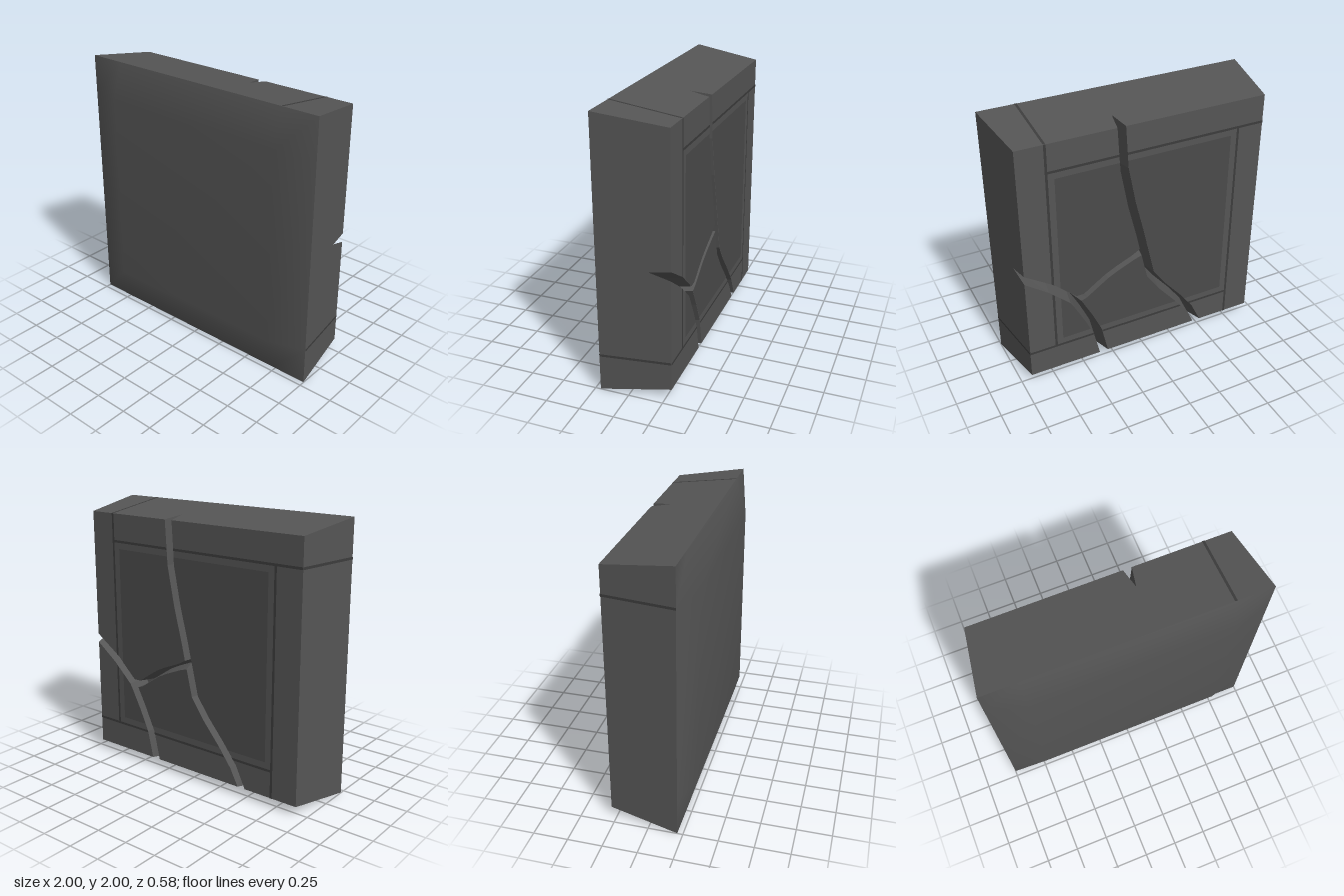
import * as THREE from 'three';

// Slab outline: back rim (z -0.29), wide rim (z 0.21), raised front (z 0.29)
const ZB = -0.29, ZM = 0.21, ZF = 0.29, ZV = -0.14;
const BACK = 0.93, IN = 0.725, WIDE = 1;
const rimAt = z => BACK + (WIDE - BACK) * (z - ZB) / (ZM - ZB);

const mat = color => new THREE.MeshStandardMaterial({ color, side: THREE.DoubleSide });
const stone = mat(0x555555), panelMat = mat(0x4a4a4a), seamMat = mat(0x3c3c3c);

// Triangulate a flat 3D polygon and turn its triangles towards `out`
function addFace(list, poly, out) {
  const drop = [0, 1, 2].sort((a, b) => Math.abs(out[b]) - Math.abs(out[a]))[0];
  const [u, v] = [0, 1, 2].filter(i => i !== drop);
  const flat = poly.map(p => new THREE.Vector2(p[u], p[v]));
  for (const t of THREE.ShapeUtils.triangulateShape(flat, [])) {
    const [a, b, c] = t.map(i => new THREE.Vector3(...poly[i]));
    const n = b.clone().sub(a).cross(c.clone().sub(a));
    const tri = n.dot(new THREE.Vector3(...out)) < 0 ? [a, c, b] : [a, b, c];
    tri.forEach(p => list.push(p.x, p.y, p.z));
  }
}

function addMesh(group, name, list, material) {
  const g = new THREE.BufferGeometry();
  g.setAttribute('position', new THREE.Float32BufferAttribute(list, 3));
  g.computeVertexNormals();
  const m = new THREE.Mesh(g, material);
  m.name = name;
  group.add(m);
}

// Clip a polygon to the rectangle x0..x1, y0..y1
function clip(poly, x0, y0, x1, y1) {
  for (const [k, s, lim] of [[0, 1, x0], [0, -1, x1], [1, 1, y0], [1, -1, y1]]) {
    const res = [];
    poly.forEach((p, i) => {
      const q = poly[(i + 1) % poly.length];
      const dp = s * (p[k] - lim), dq = s * (q[k] - lim);
      if (dp >= 0) res.push(p);
      if (dp * dq < 0) {
        const t = dp / (dp - dq);
        res.push([p[0] + (q[0] - p[0]) * t, p[1] + (q[1] - p[1]) * t]);
      }
    });
    poly = res;
  }
  return poly;
}

// The two lips of a crack; end normals can be fixed to run along the slab edge
function lips(path, w, startN, endN) {
  const plus = [], minus = [];
  path.forEach((p, i) => {
    const a = path[Math.max(i - 1, 0)], b = path[Math.min(i + 1, path.length - 1)];
    const l = Math.hypot(b[0] - a[0], b[1] - a[1]);
    let n = [-(b[1] - a[1]) / l, (b[0] - a[0]) / l];
    if (i === 0 && startN) n = startN;
    if (i === path.length - 1 && endN) n = endN;
    plus.push([p[0] + n[0] * w, p[1] + n[1] * w]);
    minus.push([p[0] - n[0] * w, p[1] - n[1] * w]);
  });
  return { plus, minus };
}

export function createModel() {
  const group = new THREE.Group();
  const top = 1 + BACK, bot = 1 - BACK, vr = rimAt(ZV);

  // Crack centre lines on the back face
  const longPath = [[0.185, top], [0.166, 1.61], [0.109, 1.317], [0.044, 1.06], [0.015, 0.93],
    [0.0, 0.87], [-0.046, 0.67], [-0.143, 0.53], [-0.29, 0.356], [-0.395, 0.215], [-0.468, bot]];
  const sidePath = [[BACK, 0.937], [0.735, 0.80], [0.575, 0.65], [0.545, 0.60], [0.467, 0.45],
    [0.393, 0.285], [0.345, bot]];
  const linkPath = [[0.48, 0.655], [0.40, 0.71], [0.31, 0.77], [0.23, 0.81], [0.10, 0.865]];
  const A = lips(longPath, 0.031, [1, 0], [1, 0]);
  const B = lips(sidePath, 0.034, [0, -1], [1, 0]);
  const C = lips(linkPath, 0.024);
  const linkUpper = [B.minus[2], ...C.minus, A.plus[4]];
  const linkLower = [B.minus[3], ...C.plus, A.plus[5]];

  // Back face pieces left between the cracks
  const pieces = [
    [...A.minus, [-BACK, bot], [-BACK, top]],
    [...A.plus.slice(0, 5).reverse(), [BACK, top], ...B.minus.slice(0, 3), ...linkUpper.slice(1, -1)],
    [...linkLower, ...A.plus.slice(6), ...B.minus.slice(4).reverse()],
    [...B.plus, [BACK, bot]],
  ];
  const onBack = (list, poly, z) => {
    if (poly.length > 2) addFace(list, poly.map(p => [p[0], p[1], z]), [0, 0, -1]);
  };
  const back = [], panel = [], seams = [];
  pieces.forEach(p => {
    onBack(back, p, ZB);
    onBack(panel, clip(p, -0.67, 0.33, 0.67, 1.67), ZB - 0.002);
    // Pinwheel of seams around the panel
    const w = 0.009;
    for (const [x0, y0, x1, y1] of [[-BACK, 1 + IN, IN, 1 + IN], [IN, 1 - IN, IN, top],
      [-IN, 1 - IN, BACK, 1 - IN], [-IN, bot, -IN, 1 + IN]]) {
      const h = x0 === x1 ? [w, 0] : [0, w];
      onBack(seams, clip(p, x0 - h[0], y0 - h[1], x1 + h[0], y1 + h[1]), ZB - 0.003);
    }
  });
  addMesh(group, 'backFace', back, stone);
  addMesh(group, 'backPanel', panel, panelMat);

  // V-shaped crack walls
  const floorA = longPath.map(p => [...p]), floorB = sidePath.map(p => [...p]);
  floorA[0][1] = 1 + vr;
  floorA[10][1] = floorB[6][1] = 1 - vr;
  floorB[0] = [vr, 0.953];
  const walls = [];
  const tri = (...pts) => pts.forEach(p => walls.push(...p));
  const wall = (lip, floor, skip = -1) => {
    for (let i = 0; i < lip.length - 1; i++) {
      if (i === skip) continue;
      const a = [...lip[i], ZB], b = [...lip[i + 1], ZB];
      const c = [...floor[i], ZV], d = [...floor[i + 1], ZV];
      tri(a, b, c, b, d, c);
    }
  };
  wall(A.plus, floorA, 4);
  wall(A.minus, floorA);
  wall(B.plus, floorB);
  wall(B.minus, floorB, 2);
  wall(linkUpper, [floorB[2], ...linkPath, floorA[4]]);
  wall(linkLower, [floorB[3], ...linkPath, floorA[5]]);
  const deep = p => [...p, ZV];
  tri(deep(floorA[4]), deep(floorA[5]), deep(linkPath[4]));
  tri(deep(floorB[2]), deep(floorB[3]), deep(linkPath[0]));
  addMesh(group, 'crackWalls', walls, stone);

  // Sloping sides, notched where a crack runs out; each carries one seam
  const sides = [];
  const notch = (lipA, floor, lipB) => [[...lipA, ZB], [...floor, ZV], [...lipB, ZB]];
  const cuts = [
    notch(A.minus[0], floorA[0], A.plus[0]),
    notch(B.minus[0], floorB[0], B.plus[0]),
    [...notch(B.plus[6], floorB[6], B.minus[6]), ...notch(A.plus[10], floorA[10], A.minus[10])],
    [],
  ];
  const corners = [[-1, 1], [1, 1], [1, -1], [-1, -1]];
  const at = ([x, y], z) => [x * rimAt(z), 1 + y * rimAt(z), z];
  corners.forEach((c, i) => {
    const d = corners[(i + 1) % 4];
    const out = [(c[0] + d[0]) / 2, (c[1] + d[1]) / 2, 0];
    addFace(sides, [at(c, ZB), ...cuts[i], at(d, ZB), at(d, ZM), at(c, ZM)], out);
    const along = [(d[0] - c[0]) / 2, (d[1] - c[1]) / 2];
    const pt = (z, t) => [out[0] * (rimAt(z) + 0.002) + along[0] * t,
      1 + out[1] * (rimAt(z) + 0.002) + along[1] * t, z];
    addFace(seams, [pt(ZB, IN - 0.009), pt(ZB, IN + 0.009), pt(ZM, IN + 0.009), pt(ZM, IN - 0.009)], out);
  });
  addMesh(group, 'sides', sides, stone);
  addMesh(group, 'seams', seams, seamMat);

  // Softly raised front with sloping margins
  const front = new THREE.PlaneGeometry(2, 2, 3, 3);
  const pos = front.attributes.position;
  for (let i = 0; i < pos.count; i++) {
    const x = pos.getX(i), y = pos.getY(i);
    const inner = Math.max(Math.abs(x), Math.abs(y)) < 0.9;
    const move = v => Math.abs(v) < 0.9 ? Math.sign(v) * IN : v;
    pos.setXYZ(i, move(x), 1 + move(y), inner ? ZF : ZM);
  }
  front.computeVertexNormals();
  const frontMesh = new THREE.Mesh(front, stone);
  frontMesh.name = 'frontFace';
  group.add(frontMesh);
  return group;
}
